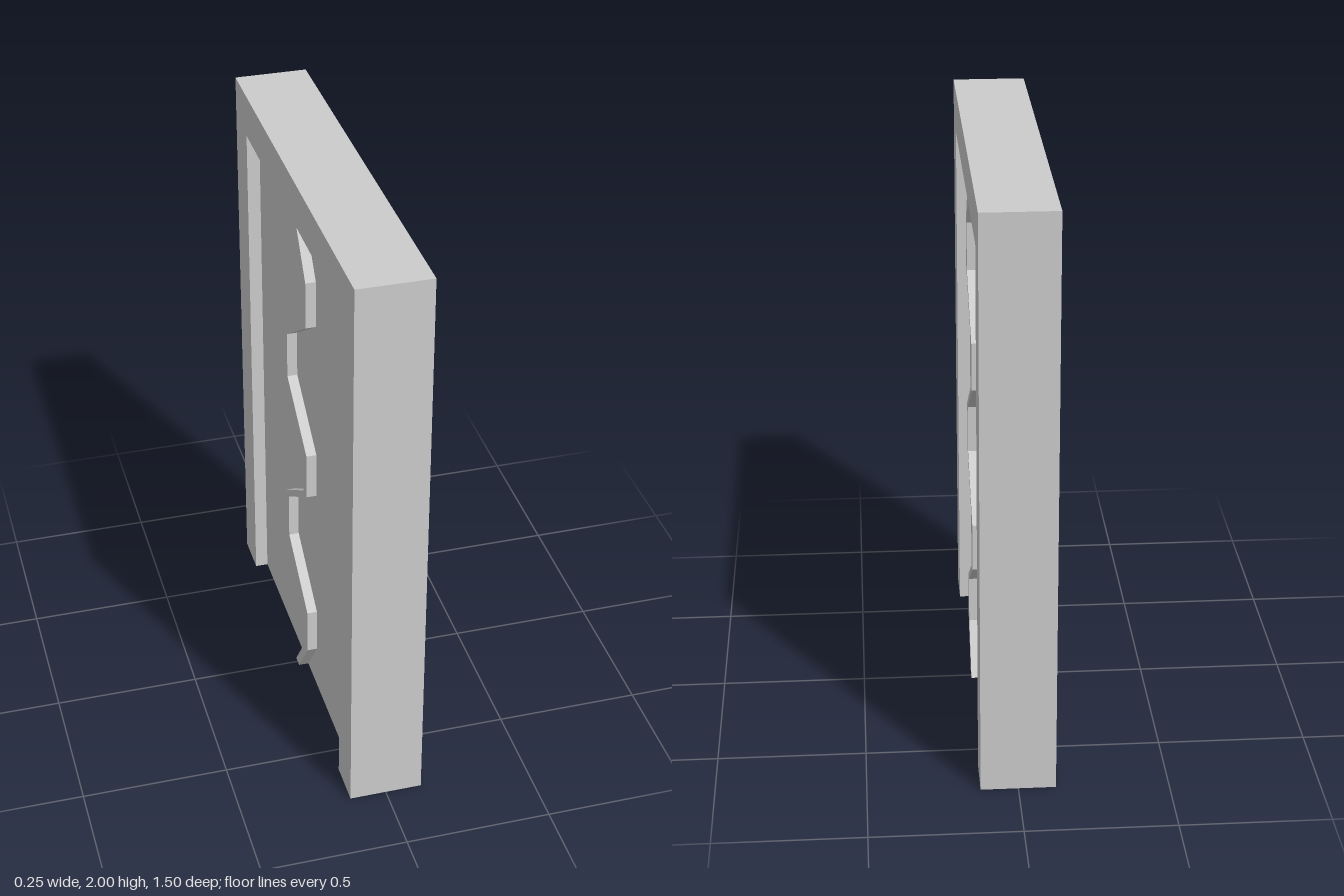
import * as THREE from 'three';

export function createModel() {
  const model = new THREE.Group();
  const grey = new THREE.MeshStandardMaterial({ color: 0xcccccc, flatShading: true });
  const thin = grey.clone();
  thin.side = THREE.DoubleSide;

  const halfDepth = 0.125, halfWidth = 0.75, openHalf = 0.6, openTop = 1.85;
  const panelX = 0.08, stripOut = 0.115, stripHalf = 0.021;

  // Extrudes a (z, y) outline along x, from x0 to x1
  const extrudeAlongX = (points, x0, x1, name) => {
    const shape = new THREE.Shape(points.map(([z, y]) => new THREE.Vector2(-z, y)));
    const geometry = new THREE.ExtrudeGeometry(shape, { depth: x1 - x0, bevelEnabled: false });
    geometry.rotateY(Math.PI / 2).translate(x0, 0, 0);
    const mesh = new THREE.Mesh(geometry, grey);
    mesh.name = name;
    model.add(mesh);
  };

  // Door frame: two posts and a lintel in one piece
  extrudeAlongX([
    [-halfWidth, 0], [-openHalf, 0], [-openHalf, openTop], [openHalf, openTop],
    [openHalf, 0], [halfWidth, 0], [halfWidth, 2], [-halfWidth, 2],
  ], -halfDepth, halfDepth, 'doorFrame');

  // Zigzag seam centre line: evenly spaced rows, pairs swinging to each side
  const swing = [0, 1, 1, -1, -1, 1, 1, -1, -1, 1, 1, 0];
  const line = swing.map((s, i) => [s * 0.125, (openTop * i) / (swing.length - 1)]);
  const outline = [
    ...line.map(([z, y]) => [z - stripHalf, y]),
    ...line.map(([z, y]) => [z + stripHalf, y]).reverse(),
  ];

  // Hollow door: a thin panel and a raised seam on each side
  for (const side of [1, -1]) {
    const label = side > 0 ? 'Left' : 'Right';
    const panel = new THREE.Mesh(new THREE.PlaneGeometry(openHalf * 2, openTop), thin);
    panel.rotation.y = (side * Math.PI) / 2;
    panel.position.set(side * panelX, openTop / 2, 0);
    panel.name = 'doorPanel' + label;
    model.add(panel);

    const xs = [side * panelX, side * stripOut].sort((a, b) => a - b);
    extrudeAlongX(outline, xs[0], xs[1], 'zigzagSeam' + label);
  }
  return model;
}
